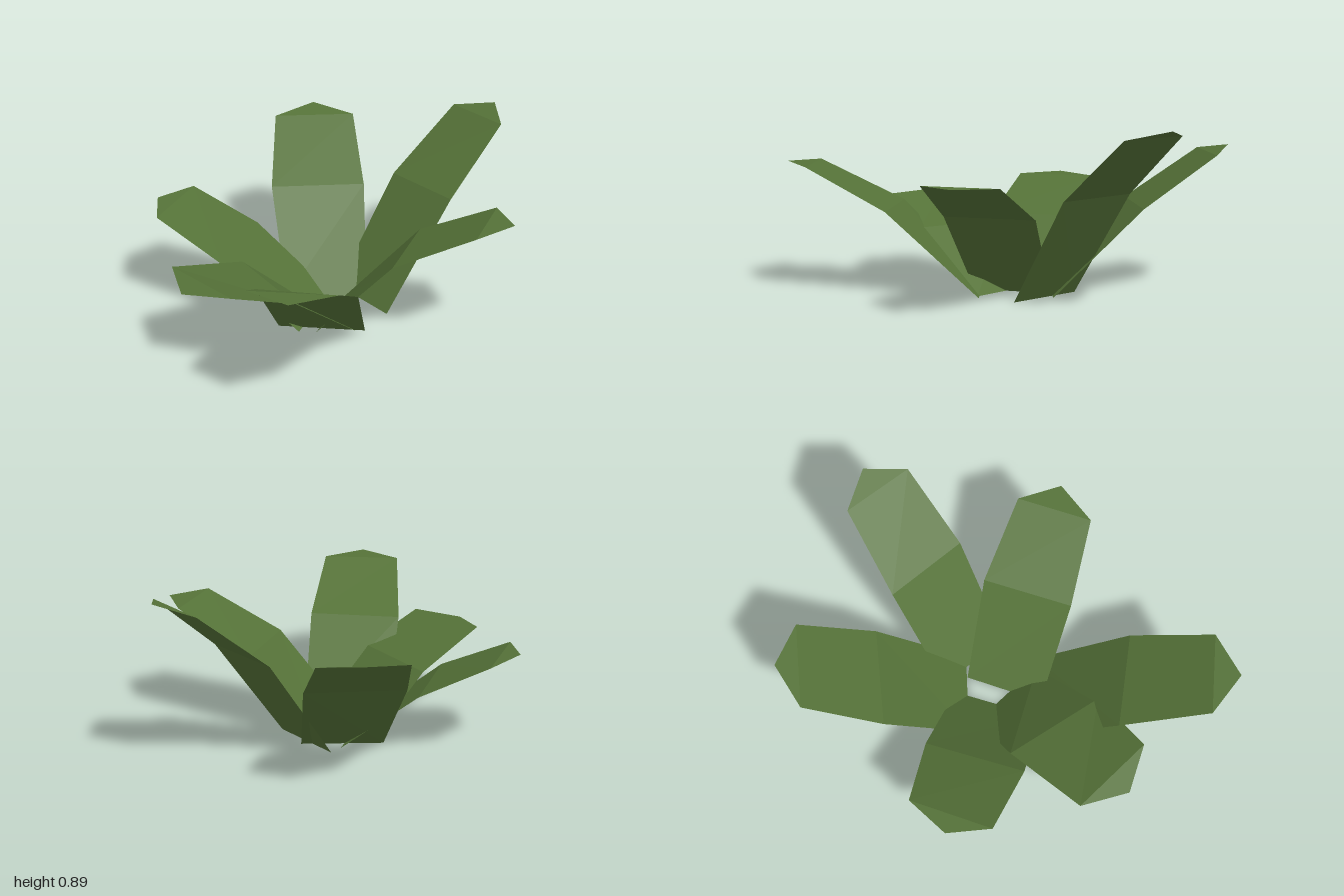
import * as THREE from 'three';

const leafGreen = new THREE.MeshStandardMaterial({ color: 0x557238, side: THREE.DoubleSide, flatShading: true });
leafGreen.name = 'leaf green';

// Each leaf: [x, z] down its left and right edges (base, middle, shoulder), the tip,
// and the heights of base, middle, shoulder and tip.
const leaves = {
  leftLeaf: {
    left: [[0.10, -0.19], [0.48, -0.23], [0.86, -0.22]],
    right: [[0.13, 0.21], [0.52, 0.21], [0.88, 0.15]],
    tip: [0.99, -0.04], heights: [0, 0.54, 0.85, 0.89],
  },
  backLeftLeaf: {
    left: [[-0.19, -0.235], [-0.03, -0.63], [0.19, -0.94]],
    right: [[0.16, -0.01], [0.40, -0.39], [0.56, -0.73]],
    tip: [0.43, -0.93], heights: [0, 0.44, 0.70, 0.735],
  },
  backRightLeaf: {
    left: [[-0.34, 0.12], [-0.60, -0.18], [-0.78, -0.50]],
    right: [[0.03, -0.17], [-0.20, -0.50], [-0.435, -0.75]],
    tip: [-0.67, -0.70], heights: [0, 0.325, 0.50, 0.51],
  },
  rightLeaf: {
    left: [[-0.10, 0.27], [-0.50, 0.35], [-0.85, 0.36]],
    right: [[-0.17, -0.17], [-0.48, -0.18], [-0.92, -0.08]],
    tip: [-1.0, 0.16], heights: [0, 0.305, 0.44, 0.42],
  },
  frontRightLeaf: {
    left: [[-0.06, 0.29], [-0.35, 0.65], [-0.64, 0.93]],
    right: [[-0.39, 0.01], [-0.70, 0.32], [-0.95, 0.67]],
    tip: [-0.88, 0.90], heights: [0, 0.43, 0.645, 0.655],
  },
  frontLeftLeaf: {
    left: [[0.06, -0.07], [0.32, 0.22], [0.52, 0.57]],
    right: [[-0.27, 0.17], [-0.05, 0.50], [0.21, 0.80]],
    tip: [0.45, 0.79], heights: [0, 0.43, 0.63, 0.635],
  },
};

// A folded strip of two panels closed by a pointed tip
function makeLeaf({ left, right, tip, heights }) {
  const positions = [];
  const index = [];
  for (let row = 0; row < 3; row++) {
    for (const [x, z] of [left[row], right[row]]) positions.push(x, heights[row], z);
  }
  positions.push(tip[0], heights[3], tip[1]);
  for (let row = 0; row < 2; row++) {
    const a = row * 2;
    index.push(a, a + 1, a + 3, a, a + 3, a + 2);
  }
  index.push(4, 5, 6);
  const geometry = new THREE.BufferGeometry();
  geometry.setAttribute('position', new THREE.Float32BufferAttribute(positions, 3));
  geometry.setIndex(index);
  const flat = geometry.toNonIndexed();
  flat.computeVertexNormals();
  return flat;
}

export function createModel() {
  const plant = new THREE.Group();
  plant.name = 'leafyPlant';
  for (const [name, shape] of Object.entries(leaves)) {
    const leaf = new THREE.Mesh(makeLeaf(shape), leafGreen);
    leaf.name = name;
    plant.add(leaf);
  }
  return plant;
}
